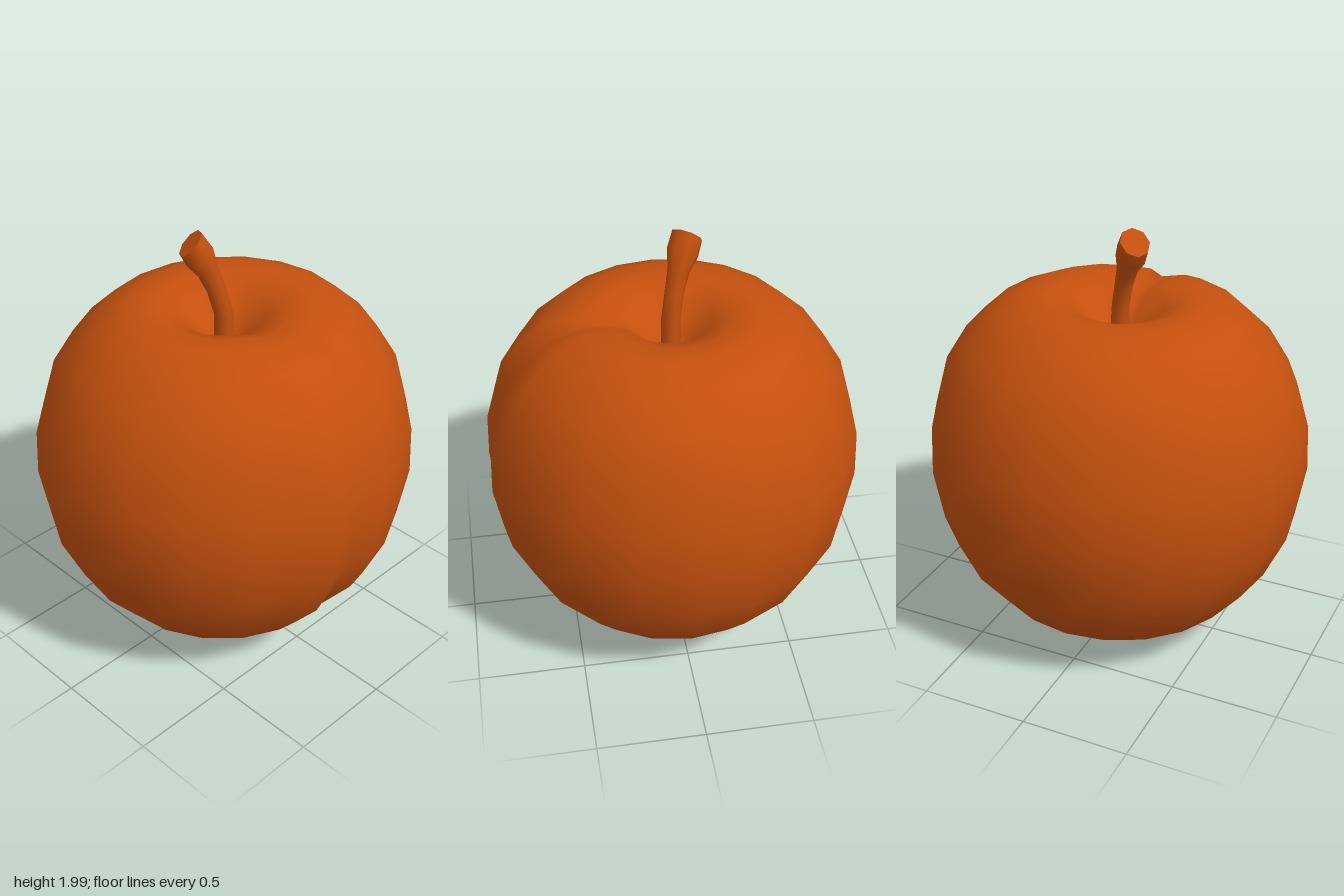
import * as THREE from 'three';
import { mergeVertices } from 'three/addons/utils/BufferGeometryUtils.js';

// Radius and height of the fruit, from the base up over the rim into the stem pit
const PROFILE = [
  [0, 0.005], [0.2, 0.02], [0.41, 0.09], [0.59, 0.2], [0.74, 0.38], [0.84, 0.6], [0.882, 0.84],
  [0.872, 1.065], [0.807, 1.295], [0.705, 1.46], [0.57, 1.585], [0.43, 1.646],
  [0.3, 1.64], [0.2, 1.6], [0.1, 1.5], [0, 1.43],
];

// Round fruit with a crease down the front
function fruitGeometry() {
  const step = Math.PI / 10;
  const angles = [0, step / 2];
  for (let k = 1; k < 20; k++) angles.push(k * step);
  angles.push(-step / 2);

  const n = angles.length, positions = [], index = [];
  PROFILE.forEach(([r, y], i) => {
    const upper = THREE.MathUtils.smoothstep(y, 0.8, 1.4);
    const creaseWidth = i > 10 ? 0.26 : 0.1;
    for (const a of angles) {
      const off = Math.atan2(Math.sin(a), Math.cos(a));
      const depth = 0.045 * Math.exp(-((off / creaseWidth) ** 2)) * Math.min(1, r / 0.3);
      const p = new THREE.Vector3(r * Math.sin(a), y, r * Math.cos(a) * 0.98);
      p.y += 0.022 * p.x * upper; // slightly higher on one side
      p.add(new THREE.Vector3(0, 0.85 - p.y, -p.z).normalize().multiplyScalar(depth));
      positions.push(p.x, p.y, p.z);
    }
  });
  for (let i = 0; i < PROFILE.length - 1; i++) {
    for (let j = 0; j < n; j++) {
      const a = i * n + j, b = i * n + (j + 1) % n;
      if (i > 0) index.push(a, b, b + n);
      if (i < PROFILE.length - 2) index.push(a, b + n, a + n);
      else index.push(a, b, a + n);
      if (i === 0) index.splice(-3, 3, a, b + n, a + n);
    }
  }
  let g = new THREE.BufferGeometry();
  g.setAttribute('position', new THREE.Float32BufferAttribute(positions, 3));
  g.setIndex(index);
  g = mergeVertices(g, 1e-4);
  g.computeVertexNormals();
  return g;
}

// Stem sections from the pit to the cut end: x, y, z, radius, lean
const STEM = [
  [0, 1.4, 0, 0.045, 0], [-0.005, 1.6, 0, 0.043, 0.1], [-0.03, 1.72, -0.02, 0.043, 0.4],
  [-0.058, 1.81, -0.043, 0.05, 0.6], [-0.085, 1.88, -0.065, 0.072, 0.8], [-0.115, 1.945, -0.09, 0.07, 1],
];

// Bent stem that swells to a slanted flat end
function stemGeometry() {
  const g = new THREE.CylinderGeometry(1, 1, 1, 8, STEM.length - 1);
  const up = new THREE.Vector3(0, 1, 0), tip = new THREE.Vector3(-0.6, 0.7, -0.42);
  const p = g.attributes.position, v = new THREE.Vector3(), q = new THREE.Quaternion();
  for (let i = 0; i < p.count; i++) {
    const [x, y, z, r, lean] = STEM[Math.round((p.getY(i) + 0.5) * (STEM.length - 1))];
    q.setFromUnitVectors(up, up.clone().lerp(tip, lean).normalize());
    v.set(p.getX(i) * r, 0, p.getZ(i) * r).applyQuaternion(q);
    p.setXYZ(i, v.x + x, v.y + y, v.z + z);
  }
  g.deleteAttribute('uv');
  g.deleteAttribute('normal');
  // Sides share vertices for smooth shading; the cap keeps its own
  const sides = g.groups[0].count, all = Array.from(g.index.array);
  return [all.slice(0, sides), all.slice(sides)].map((idx) => {
    let part = new THREE.BufferGeometry();
    part.setAttribute('position', p.clone());
    part.setIndex(idx);
    part = mergeVertices(part, 1e-4);
    part.computeVertexNormals();
    return part;
  });
}

export function createModel() {
  const model = new THREE.Group();
  const skin = new THREE.MeshStandardMaterial({ color: 0xc4500e });
  skin.name = 'orange brown';
  const add = (name, geometry) => {
    const mesh = new THREE.Mesh(geometry, skin);
    mesh.name = name;
    model.add(mesh);
  };
  add('fruit', fruitGeometry());
  const [side, ends] = stemGeometry();
  add('stem', side);
  add('stemEnds', ends);
  return model;
}
